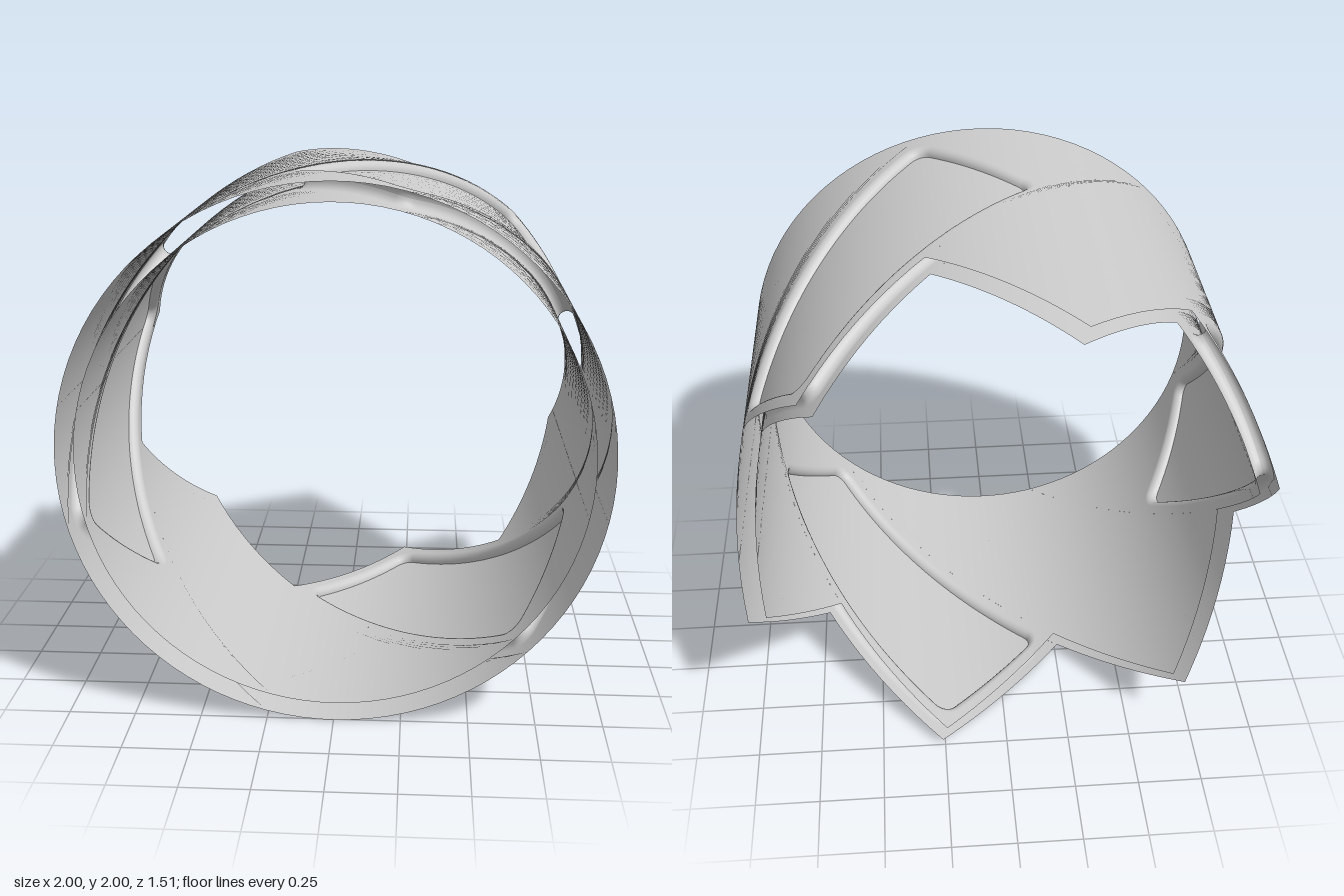
import * as THREE from 'three';

const OUTER = 1, INNER = 0.93, MID = 0.965; // wall radii and recessed panel radius
const HALF = 0.755;                         // half length along z
const Q = Math.SQRT2;
// Unrolled wall is cut in six 45-degree strips; u runs along a strip, v across it
const U0 = -(HALF + 0.25) / Q, V0 = -(HALF - 0.25) / Q, V1 = V0 + 1 / Q;
const A = 0.64, B = 0.285, CORNER = 0.05, FILLET = MID - INNER;

// Counter-clockwise rounded rectangle with a fixed number of points
function roundedLoop(a, b, r) {
  const pts = [], ARC = 6;
  const x = a - r, y = b - r;
  const centres = [[x, y], [-x, y], [-x, -y], [x, -y]];
  centres.forEach(([cx, cy], k) => {
    for (let i = 0; i <= ARC; i++) {
      const t = (k + i / ARC) * Math.PI / 2;
      pts.push([cx + r * Math.cos(t), cy + r * Math.sin(t)]);
    }
    const [px, py] = pts[pts.length - 1];
    const n = k % 2 ? 16 : 30;
    const t = (k + 1) * Math.PI / 2, next = centres[(k + 1) % 4];
    const ex = next[0] + r * Math.cos(t), ey = next[1] + r * Math.sin(t);
    for (let i = 1; i < n; i++) pts.push([px + (ex - px) * i / n, py + (ey - py) * i / n]);
  });
  // repeat the first corner's side count on the last side (long/short sides alternate)
  return pts;
}

// Strip outline: square tooth at the back, straight rim at the front
const outline = roundedLoop(1, 1, 0).map(([x, y]) => {
  const v = V0 + (V1 - V0) * (y + 1) / 2;
  return [U0 + (HALF * Q - v - U0) * (x + 1) / 2, v];
});

// Skin a list of {pts, r} loops, wrapped around the z axis
function skin(rings, flip, smoothRadius) {
  const pos = [], index = [], n = rings[0].pts.length;
  for (const { pts, r } of rings) {
    for (const [u, v] of pts) {
      const angle = (1 + (u - v) / Q) * Math.PI / 3;
      pos.push(r * Math.cos(angle), r * Math.sin(angle), (u + v) / Q);
    }
  }
  for (let i = 0; i < rings.length - 1; i++) {
    for (let j = 0; j < n; j++) {
      const a = i * n + j, b = i * n + (j + 1) % n, c = a + n, d = b + n;
      if (flip) index.push(a, d, c, a, b, d);
      else index.push(a, c, d, a, d, b);
    }
  }
  const geo = new THREE.BufferGeometry();
  geo.setAttribute('position', new THREE.Float32BufferAttribute(pos, 3));
  geo.setIndex(index);
  geo.computeVertexNormals();
  // exact radial normals on the cylindrical areas keep strip joints invisible
  const normal = geo.attributes.normal, sign = flip ? -1 : 1;
  rings.forEach(({ r }, i) => {
    if (r !== smoothRadius) return;
    for (let k = i * n; k < (i + 1) * n; k++) {
      normal.setXYZ(k, sign * pos[3 * k] / r, sign * pos[3 * k + 1] / r, 0);
    }
  });
  return geo;
}

// Recessed floor, drawn in from its border to a centre line
function floorRings() {
  const border = roundedLoop(A, B, CORNER);
  return [0, 0.2, 0.4, 0.6, 0.8, 1].map(k => ({ pts: border.map(([u, v]) => [u, v * k]), r: MID }));
}

// Wall around a panel: rounded lip, then plain cylinder out to the strip outline
function frameRings(radius) {
  const rings = [], dir = Math.sign(radius - MID), LIP = 6;
  for (let i = 0; i <= LIP; i++) {
    const t = i / LIP * Math.PI / 2;
    const d = FILLET * (1 - Math.cos(t));
    rings.push({
      pts: roundedLoop(A + d, B + d, CORNER + d),
      r: i === LIP ? radius : MID + dir * FILLET * Math.sin(t),
    });
  }
  const lip = rings[LIP].pts;
  for (let i = 1; i <= 6; i++) {
    const k = i / 6;
    rings.push({
      pts: lip.map(([u, v], j) => [u + (outline[j][0] - u) * k, v + (outline[j][1] - v) * k]),
      r: radius,
    });
  }
  return rings;
}

// Plain strip of wall
function plainRings(radius) {
  const centre = roundedLoop(A, B, CORNER);
  const rings = [0, 0.25, 0.5, 0.75, 1].map(k => ({ pts: centre.map(([u, v]) => [u, v * k]), r: radius }));
  for (let i = 1; i <= 5; i++) {
    rings.push({
      pts: centre.map(([u, v], j) => [u + (outline[j][0] - u) * i / 5, v + (outline[j][1] - v) * i / 5]),
      r: radius,
    });
  }
  return rings;
}

export function createModel() {
  const material = new THREE.MeshStandardMaterial({ color: 0xcccccc, side: THREE.DoubleSide });
  const parts = [
    { name: 'panelFloor', geo: skin(floorRings(), false, MID), panel: true },
    { name: 'outerPanelWall', geo: skin(frameRings(OUTER), false, OUTER), panel: true },
    { name: 'innerPanelWall', geo: skin(frameRings(INNER), true, INNER), panel: true },
    { name: 'outerPlainWall', geo: skin(plainRings(OUTER), false, OUTER), panel: false },
    { name: 'innerPlainWall', geo: skin(plainRings(INNER), true, INNER), panel: false },
  ];
  const model = new THREE.Group();
  model.name = 'crownRing';
  // Six toothed strips, every other one with a recessed panel
  for (let k = 0; k < 6; k++) {
    const strip = new THREE.Group();
    strip.name = k % 2 ? 'plainStrip' : 'panelStrip';
    for (const { name, geo, panel } of parts) {
      if (panel !== (k % 2 === 0)) continue;
      const mesh = new THREE.Mesh(geo, material);
      mesh.name = name;
      strip.add(mesh);
    }
    strip.rotation.z = k * Math.PI / 3;
    strip.position.y = 1;
    model.add(strip);
  }
  return model;
}
